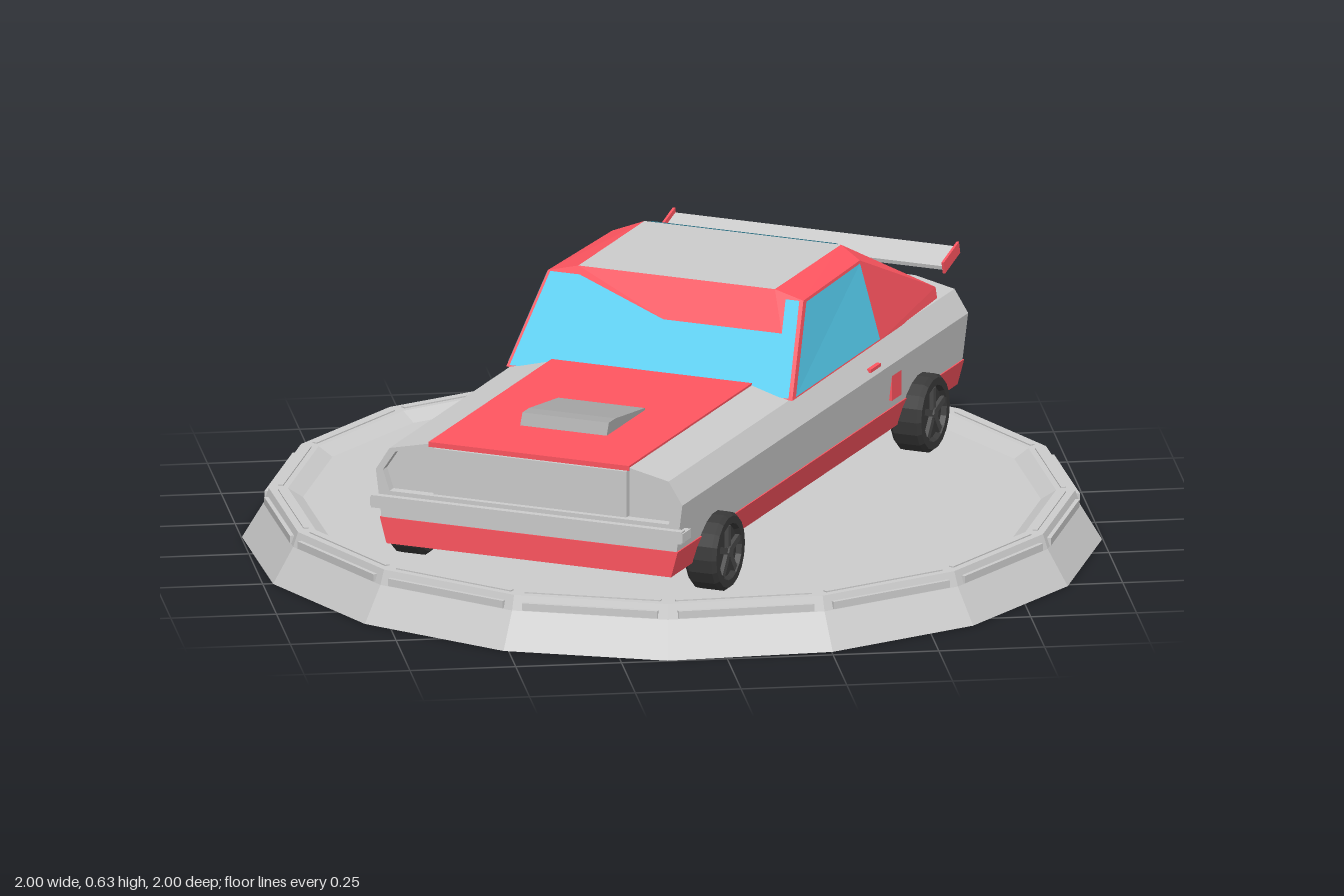
import * as THREE from 'three';

const GREY = 0xcccccc, RED = 0xff5560, GLASS = 0x55ccee, DARK = 0x383838, RIM = 0x484848, SCOOP = 0xa8a8a8;

const mat = (color, side = THREE.FrontSide) =>
  new THREE.MeshStandardMaterial({ color, flatShading: true, side });

function add(parent, name, geometry, color, x = 0, y = 0, z = 0, side) {
  const mesh = new THREE.Mesh(geometry, mat(color, side));
  mesh.name = name;
  mesh.position.set(x, y, z);
  parent.add(mesh);
  return mesh;
}

const box = (parent, name, color, w, h, d, x, y, z) =>
  add(parent, name, new THREE.BoxGeometry(w, h, d), color, x, y, z);

// flat panel through corner points, as a fan
function panel(parent, name, color, pts) {
  const pos = [];
  for (let i = 1; i < pts.length - 1; i++) pos.push(...pts[0], ...pts[i], ...pts[i + 1]);
  const g = new THREE.BufferGeometry();
  g.setAttribute('position', new THREE.Float32BufferAttribute(pos, 3));
  g.computeVertexNormals();
  return add(parent, name, g, color, 0, 0, 0, THREE.DoubleSide);
}

// window pane set slightly inside a panel outline and proud of it
function pane(parent, name, pts, scale) {
  const v = pts.map((p) => new THREE.Vector3(...p));
  const mid = v.reduce((a, p) => a.add(p), new THREE.Vector3()).divideScalar(v.length);
  const n = v[1].clone().sub(v[0]).cross(v[2].clone().sub(v[0])).normalize();
  if (n.dot(mid.clone().sub(new THREE.Vector3(0, 0.45, -0.2))) < 0) n.negate();
  panel(parent, name, GLASS, v.map((p) =>
    p.sub(mid).multiplyScalar(scale).add(mid).addScaledVector(n, 0.004).toArray()));
}

const flip = (p) => [-p[0], p[1], p[2]];

// symmetric section from half-profile points, bottom to top
function section(half) {
  const pts = [...half, ...half.map(([x, y]) => [-x, y]).reverse()];
  return new THREE.Shape(pts.map(([x, y]) => new THREE.Vector2(x, y)));
}

function along(parent, name, shape, color, z0, z1) {
  const g = new THREE.ExtrudeGeometry(shape, { depth: z1 - z0, bevelEnabled: false });
  return add(parent, name, g, color, 0, 0, z0);
}

function buildPlatform() {
  const platform = new THREE.Group();
  platform.name = 'platform';
  platform.rotation.y = 0.253;
  const profile = [[0, 0], [1.008, 0], [0.957, 0.085], [0.945, 0.12], [0.9, 0.12], [0.865, 0.098], [0, 0.098]];
  add(platform, 'platformBase',
    new THREE.LatheGeometry(profile.map(([x, y]) => new THREE.Vector2(x, y)), 16), GREY);
  // rim strips outside and on top, one pair per side
  for (let i = 0; i < 16; i++) {
    const a = ((i + 0.5) / 16) * Math.PI * 2;
    for (const [name, h, d, r, y] of [['rimStrip', 0.018, 0.02, 0.932, 0.096], ['rimRail', 0.006, 0.012, 0.903, 0.12]]) {
      box(platform, name, GREY, 0.325, h, d, r * Math.sin(a), y, r * Math.cos(a)).rotation.y = a;
    }
  }
  return platform;
}

function buildBody(car) {
  const hull = [[0.375, 0.24], [0.39, 0.36], [0.355, 0.415], [0.255, 0.437]];
  along(car, 'body', section(hull), GREY, -0.83, 0.835);
  along(car, 'sill', section([[0.362, 0.182], [0.379, 0.245]]), RED, -0.862, 0.862);

  // raised frames around the recessed nose and tail
  const frame = (opening) => {
    const s = section(hull);
    s.holes.push(section(opening));
    return s;
  };
  along(car, 'noseFrame', frame([[0.355, 0.31], [0.372, 0.36], [0.34, 0.408], [0.25, 0.43]]), GREY, 0.835, 0.86);
  along(car, 'tailFrame', frame([[0.335, 0.255], [0.365, 0.36], [0.34, 0.408], [0.25, 0.428]]), GREY, -0.86, -0.83);
  box(car, 'grille', GREY, 0.49, 0.112, 0.025, 0, 0.369, 0.842);
  box(car, 'tailPanel', GREY, 0.5, 0.168, 0.03, 0, 0.341, -0.84);
  box(car, 'hood', RED, 0.51, 0.012, 0.74, 0, 0.436, 0.492);

  // bumpers
  box(car, 'frontBumper', GREY, 0.79, 0.03, 0.02, 0, 0.285, 0.867);
  for (const s of [-1, 1]) {
    box(car, 'bumperEnd', GREY, 0.02, 0.022, 0.05, s * 0.388, 0.285, 0.852);
    box(car, 'rearBumper', GREY, 0.11, 0.02, 0.03, s * 0.325, 0.3, -0.85);
  }

  // fuel door and handle on the left side
  box(car, 'fuelDoor', RED, 0.012, 0.065, 0.058, 0.38, 0.3, -0.44);
  box(car, 'doorHandle', RED, 0.014, 0.008, 0.06, 0.381, 0.376, -0.31);

  // hood scoop, low at the back
  const wedge = new THREE.Shape([[0.424, 0.438], [0.655, 0.438], [0.64, 0.47], [0.6, 0.47], [0.424, 0.447]]
    .map(([z, y]) => new THREE.Vector2(-z, y)));
  const scoop = add(car, 'hoodScoop',
    new THREE.ExtrudeGeometry(wedge, { depth: 0.22, bevelEnabled: false }), SCOOP, -0.11, 0, 0);
  scoop.rotation.y = Math.PI / 2;
}

function buildCabin(car) {
  const cabin = new THREE.Group();
  cabin.name = 'cabin';
  car.add(cabin);
  const beltFront = [0.364, 0.415, 0.137], beltRear = [0.36, 0.415, -0.405];
  const tailLow = [0.35, 0.41, -0.77], tail = [0.345, 0.443, -0.77];
  const eaveFront = [0.325, 0.612, -0.022], eaveRear = [0.315, 0.61, -0.385];
  const roofFront = [0.25, 0.63, -0.028], roofRear = [0.25, 0.63, -0.425];
  const deck = [0.225, 0.485, -0.63];

  const screen = [beltFront, eaveFront, roofFront, flip(roofFront), flip(eaveFront), flip(beltFront)];
  panel(cabin, 'windshieldFrame', RED, screen);
  pane(cabin, 'windshield', [beltFront, eaveFront, flip(eaveFront), flip(beltFront)], 0.975);
  panel(cabin, 'roof', GREY, [roofFront, roofRear, flip(roofRear), flip(roofFront)]);
  const back = [roofRear, deck, flip(deck), flip(roofRear)];
  panel(cabin, 'rearWindowFrame', RED, back);
  pane(cabin, 'rearWindow', back, 0.95);
  panel(cabin, 'trunkLid', RED, [deck, tail, flip(tail), flip(deck)]);
  panel(cabin, 'trunkEdge', RED, [tail, tailLow, flip(tailLow), flip(tail)]);

  for (const m of [(p) => p, flip]) {
    const side = [beltFront, beltRear, eaveRear, eaveFront].map(m);
    panel(cabin, 'doorFrame', RED, side);
    pane(cabin, 'sideWindow', side, 0.95);
    panel(cabin, 'roofEdge', RED, [eaveFront, eaveRear, roofRear, roofFront].map(m));
    panel(cabin, 'rearPillar', RED, [tail, deck, roofRear, eaveRear, beltRear].map(m));
    panel(cabin, 'rearQuarter', RED, [beltRear, tailLow, tail].map(m));
  }
}

function buildSpoiler(car) {
  const spoiler = new THREE.Group();
  spoiler.name = 'spoiler';
  spoiler.position.set(0, 0.5, -0.825);
  car.add(spoiler);
  const wing = new THREE.Group();
  wing.name = 'wing';
  wing.rotation.x = 0.28;
  spoiler.add(wing);
  box(wing, 'wingBlade', GREY, 0.72, 0.01, 0.09, 0, 0, 0);
  for (const s of [-1, 1]) {
    box(wing, 'wingTip', RED, 0.006, 0.03, 0.095, s * 0.361, 0.002, 0);
    box(spoiler, 'wingSupport', GREY, 0.012, 0.075, 0.04, s * 0.165, -0.04, -0.01);
  }
}

function buildWheel() {
  const wheel = new THREE.Group();
  wheel.name = 'wheel';
  // tyre with a dished outer face, axis along x, outside towards +x
  const profile = [[0, -0.04], [0.084, -0.04], [0.094, -0.03], [0.094, 0.03], [0.086, 0.04], [0.068, 0.04], [0.062, 0.028], [0, 0.028]];
  const tyre = add(wheel, 'tyre',
    new THREE.LatheGeometry(profile.map(([x, y]) => new THREE.Vector2(x, y)), 18), DARK);
  tyre.rotation.z = -Math.PI / 2;
  for (let i = 0; i < 5; i++) {
    const a = (i / 5) * Math.PI * 2;
    const spoke = box(wheel, 'spoke', RIM, 0.01, 0.06, 0.016, 0.033, Math.cos(a) * 0.033, Math.sin(a) * 0.033);
    spoke.rotation.x = a;
  }
  const hub = add(wheel, 'hub', new THREE.CylinderGeometry(0.014, 0.016, 0.016, 8), RIM, 0.034, 0, 0);
  hub.rotation.z = -Math.PI / 2;
  return wheel;
}

export function createModel() {
  const model = new THREE.Group();
  model.name = 'carOnPlatform';
  model.add(buildPlatform());

  const car = new THREE.Group();
  car.name = 'car';
  car.rotation.y = -0.53;
  model.add(car);
  buildBody(car);
  buildCabin(car);
  buildSpoiler(car);
  for (const s of [-1, 1]) {
    for (const z of [0.64, -0.593]) {
      const wheel = buildWheel();
      wheel.position.set(s * 0.38, 0.191, z);
      if (s < 0) wheel.rotation.y = Math.PI;
      car.add(wheel);
    }
  }
  return model;
}
